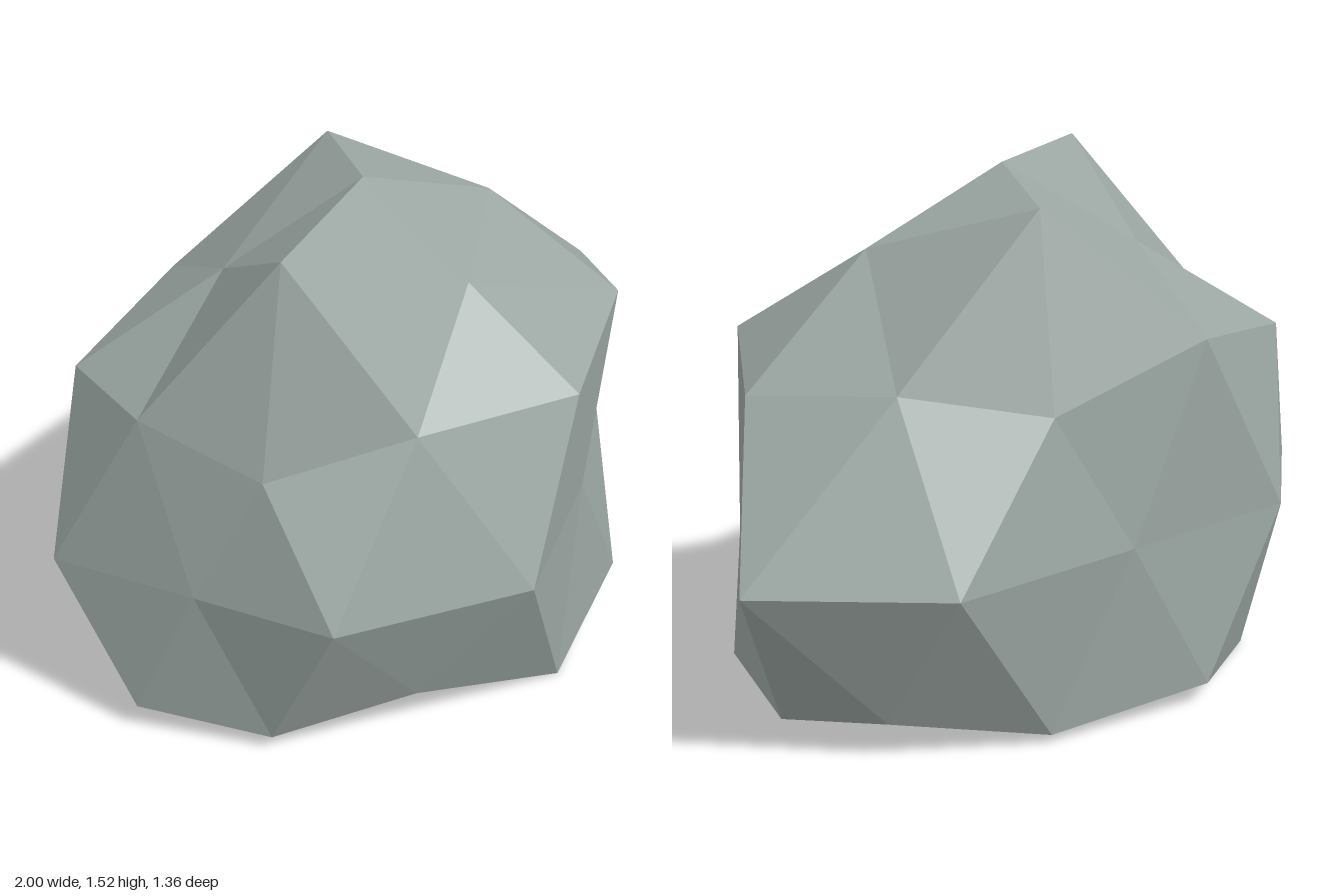
import * as THREE from 'three';

// Rings of the subdivided ball from top to bottom:
// unit height, azimuth of the first point (degrees), radius of each point around the ring
const RINGS = [
  { y: 1, start: 0, r: [0.931] },
  { y: 0.851, start: 0, r: [0.89, 0.815, 1.093, 0.825, 1.04] },
  { y: 0.526, start: 36, r: [0.972, 0.87, 0.914, 0.99, 0.86] },
  { y: 0.447, start: 0, r: [0.965, 0.985, 0.83, 1.01, 0.86] },
  { y: 0, start: 18, r: [0.825, 0.782, 1.026, 0.952, 0.789, 1, 0.99, 0.82, 1.037, 1.104] },
  { y: -0.447, start: 36, r: [0.98, 0.84, 0.955, 1, 0.91] },
  { y: -0.526, start: 0, r: [0.92, 1.008, 0.882, 0.975, 0.92] },
  { y: -0.851, start: 36, r: [1, 0.93, 0.91, 0.95, 0.78] },
  { y: -1, start: 0, r: [0.93] },
];

const SCALE = new THREE.Vector3(1, 1.057, 0.726);
const CENTRE = new THREE.Vector3(-0.049, 0.54, -0.066);

// Radius of the rock in the direction of a unit vector
function radiusAt(d) {
  const ring = RINGS.find((k) => Math.abs(k.y - d.y) < 0.02);
  const n = ring.r.length;
  if (n === 1) return ring.r[0];
  const degrees = THREE.MathUtils.radToDeg(Math.atan2(d.z, d.x));
  const i = Math.round(((degrees - ring.start) * n) / 360);
  return ring.r[((i % n) + n) % n];
}

export function createModel() {
  const stone = new THREE.MeshStandardMaterial({ color: 0x9aa5a1, flatShading: true });
  stone.name = 'greyGreenStone';

  // Ball with a corner at the pole and an upper corner towards +x
  const geometry = new THREE.IcosahedronGeometry(1, 1);
  geometry.rotateX(-Math.atan2((1 + Math.sqrt(5)) / 2, 1));
  geometry.rotateY(Math.PI / 2);

  // Push every corner in or out, then flatten the underside on the ground
  const position = geometry.attributes.position;
  const p = new THREE.Vector3();
  for (let i = 0; i < position.count; i++) {
    p.fromBufferAttribute(position, i).normalize();
    p.multiplyScalar(radiusAt(p)).multiply(SCALE).add(CENTRE);
    position.setXYZ(i, p.x, Math.max(p.y, 0), p.z);
  }
  geometry.computeVertexNormals();

  const rock = new THREE.Mesh(geometry, stone);
  rock.name = 'rock';

  const group = new THREE.Group();
  group.name = 'boulder';
  group.add(rock);
  return group;
}
